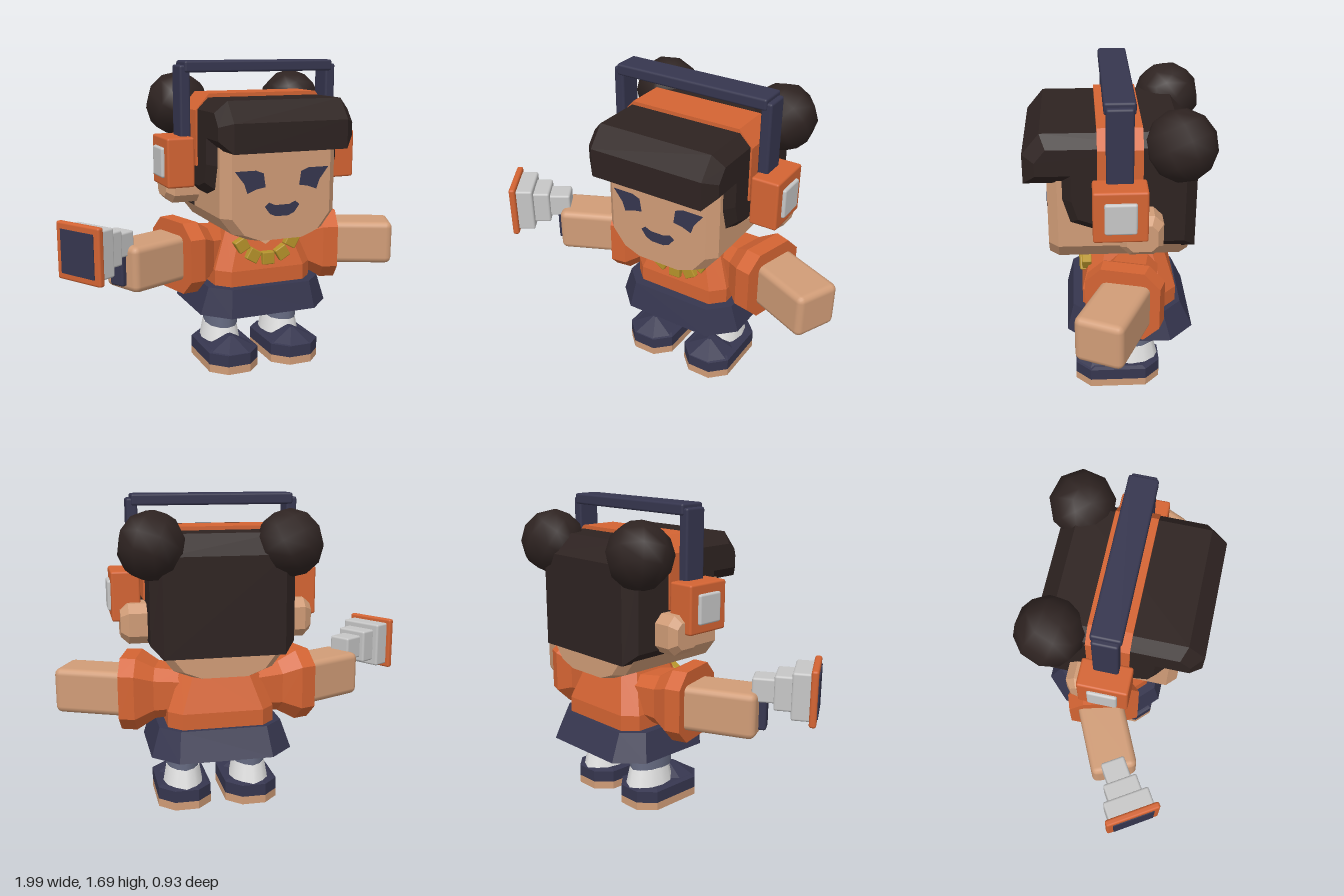
import * as THREE from 'three';
import { RoundedBoxGeometry } from 'three/addons/geometries/RoundedBoxGeometry.js';

const mat = (name, color, side = THREE.FrontSide) => {
  const m = new THREE.MeshStandardMaterial({ color, side });
  m.name = name;
  return m;
};

// Flat-shaded stack of chamfered rectangles: each ring is [y, halfWidth, zBack, zFront, chamfer]
function loft(rings) {
  const pts = rings.map(([y, w, z0, z1, c]) => [
    [w, y, z0 + c], [w, y, z1 - c], [w - c, y, z1], [c - w, y, z1],
    [-w, y, z1 - c], [-w, y, z0 + c], [c - w, y, z0], [w - c, y, z0]]);
  const pos = [];
  const tri = (...p) => p.forEach((q) => pos.push(...q));
  for (let i = 0; i < pts.length - 1; i++) {
    for (let j = 0; j < 8; j++) {
      const k = (j + 1) % 8;
      const a = pts[i][j], b = pts[i][k], c = pts[i + 1][k], d = pts[i + 1][j];
      tri(a, d, c);
      tri(a, c, b);
    }
  }
  const last = pts[pts.length - 1];
  for (let j = 1; j < 7; j++) {
    tri(pts[0][0], pts[0][j], pts[0][j + 1]);
    tri(last[0], last[j + 1], last[j]);
  }
  const g = new THREE.BufferGeometry();
  g.setAttribute('position', new THREE.Float32BufferAttribute(pos, 3));
  g.computeVertexNormals();
  return g;
}

const shape = (p) => new THREE.Shape(p.map(([x, y]) => new THREE.Vector2(x, y)));
const rbox = (x, y, z, r = 0.012) => new RoundedBoxGeometry(x, y, z, 2, r);

export function createModel() {
  const skin = mat('skin', 0xd09c77);
  const hair = mat('hair', 0x2e2321);
  const orange = mat('orange', 0xd46433);
  const navy = mat('navy', 0x36364f, THREE.DoubleSide);
  const grey = mat('grey', 0xc6c6c6);
  const white = mat('white', 0xe4e4e4);
  const stocking = mat('stocking', 0x6b7088);
  const gold = mat('gold', 0xb5922a);

  const root = new THREE.Group();
  root.name = 'figure';
  const body = new THREE.Group();
  body.name = 'body';
  body.position.x = 0.137;
  root.add(body);

  const add = (name, geo, material, x = 0, y = 0, z = 0, parent = body) => {
    const m = new THREE.Mesh(geo, material);
    m.name = name;
    m.position.set(x, y, z);
    parent.add(m);
    return m;
  };
  // Group whose local +x points sideways (s) and is turned forward by angle
  const limb = (name, s, x, y, z, angle) => {
    const g = new THREE.Group();
    g.name = name;
    g.position.set(s * x, y, z);
    g.rotation.y = s > 0 ? -angle : Math.PI + angle;
    body.add(g);
    return g;
  };

  // Head with tapered jaw
  add('head', loft([
    [0.775, 0.17, -0.36, 0.355, 0.05], [0.81, 0.26, -0.36, 0.355, 0.05],
    [0.9, 0.33, -0.36, 0.355, 0.05], [1.4, 0.33, -0.36, 0.355, 0.05]]), skin);

  // Hair: side profile across the head, with chamfered sides
  const profile = shape([
    [0.467, 1.25], [0.467, 1.4], [0.38, 1.505], [-0.29, 1.505], [-0.38, 1.4],
    [-0.38, 0.885], [-0.06, 0.885], [-0.06, 0.985], [0.13, 0.985],
    [0.255, 1.03], [0.295, 1.165], [0.295, 1.25]].reverse());
  const hairGeo = new THREE.ExtrudeGeometry(profile, {
    depth: 0.63, bevelEnabled: true, bevelThickness: 0.06, bevelSize: 0.06,
    bevelOffset: -0.06, bevelSegments: 1 });
  hairGeo.translate(0, 0, -0.315).rotateY(-Math.PI / 2);
  add('hair', hairGeo, hair);

  // Mouth
  add('mouth', new THREE.ShapeGeometry(shape([
    [-0.1, 0.955], [-0.085, 0.935], [-0.07, 0.915], [-0.035, 0.9], [0.035, 0.9],
    [0.07, 0.915], [0.1, 0.955], [0.075, 0.975], [0.04, 0.96], [-0.04, 0.96],
    [-0.075, 0.975]])), navy, 0, 0, 0.359);

  for (const s of [1, -1]) {
    // Winged eye
    add('eye', new THREE.ShapeGeometry(shape([
      [0.267, 1.147], [0.15, 1.147], [0.107, 1.13], [0.096, 1.058], [0.145, 1.05],
      [0.198, 1.03], [0.215, 1.08]].map(([x, y]) => [s * x, y]))), navy, 0, 0, 0.359);

    // Hair bun
    const bun = add('hairBun', new THREE.SphereGeometry(0.177, 9, 6), hair, s * 0.355, 1.448, -0.29);
    bun.rotation.set(0.4, 0, s * 0.4);

    // Ear
    const ear = add('ear', loft([
      [-0.1, 0.105, -0.105, 0.105, 0.045], [0.05, 0.105, -0.105, 0.105, 0.045],
      [0.09, 0.07, -0.075, 0.075, 0.03]]), skin, s * 0.42, 1.035, -0.1);
    ear.rotation.z = -s * Math.PI / 2;

    // Headphone cup, badge and post
    add('earCup', rbox(0.15, 0.262, 0.262), orange, s * 0.475, 1.172, 0.006);
    add('earCupBadge', rbox(0.04, 0.16, 0.155), grey, s * 0.547, 1.17, 0.006);
    add('headphonePost', rbox(0.058, 0.43, 0.13), navy, s * 0.426, 1.455, 0.005);

    // Flared sleeve
    const shoulder = limb('sleeveGroup', s, 0.49, 0.647, -0.005, 0.26);
    const sleeve = add('sleeve', loft([
      [-0.34, 0.12, -0.12, 0.12, 0.05], [-0.18, 0.14, -0.145, 0.145, 0.06],
      [-0.085, 0.195, -0.2, 0.195, 0.08], [0, 0.195, -0.19, 0.19, 0.08]]),
    orange, 0, 0, 0, shoulder);
    sleeve.rotation.z = -Math.PI / 2;

    // Arm, pointing slightly forward
    const arm = limb('armGroup', s, 0.815, 0.648, 0.13, 0.43);
    add('arm', rbox(0.46, 0.245, 0.25, 0.035), skin, -0.23, 0, 0, arm);

    // Leg: stocking, sock, shoe
    const x = s * 0.187;
    add('stocking', new THREE.CylinderGeometry(0.1, 0.09, 0.15, 12).scale(1, 1, 1.5), stocking, x, 0.285, -0.06);
    add('sock', new THREE.CylinderGeometry(0.092, 0.115, 0.13, 12).scale(1, 1, 1.35), white, x, 0.152, -0.07);
    const foot = [0.145, -0.225, 0.235, 0.08];
    add('sole', loft([[0, ...foot], [0.045, ...foot]]), skin, x);
    add('shoe', loft([[0.045, ...foot], [0.11, ...foot], [0.12, 0.125, -0.2, 0.2, 0.07]]), navy, x);
    add('shoeTongue', loft([
      [0.11, 0.135, -0.02, 0.232, 0.075], [0.18, 0.012, 0.075, 0.125, 0.005]]), navy, x);
  }

  // Orange strap over the hair
  const strap = shape([[-0.385, 1.15], [0.385, 1.15], [0.385, 1.44], [0.31, 1.525],
    [-0.31, 1.525], [-0.385, 1.44]]);
  add('headStrap', new THREE.ExtrudeGeometry(strap, { depth: 0.22, bevelEnabled: false }),
    orange, 0, 0, -0.11);
  add('headphoneBar', rbox(0.86, 0.06, 0.15), navy, 0, 1.662, 0.005);

  // Torso, neckline and skirt
  add('torso', loft([
    [0.47, 0.285, -0.305, 0.19, 0.07], [0.57, 0.285, -0.305, 0.19, 0.07],
    [0.79, 0.2, -0.235, 0.13, 0.06]]), orange);
  const neckline = add('neckline', new THREE.ShapeGeometry(shape([
    [0, 0], [0.135, 0.09], [-0.135, 0.09]])), skin, 0, 0.7, 0.16);
  neckline.rotation.x = -0.266;
  add('skirt', loft([
    [0.335, 0.378, -0.4, 0.275, 0.13], [0.485, 0.33, -0.33, 0.24, 0.1]]), navy);

  // Bead necklace
  for (let i = -2; i <= 2; i++) {
    const a = i * 0.53;
    const bead = add('necklaceBead', rbox(0.07, 0.07, 0.05, 0.006), gold,
      0.17 * Math.sin(a), 0.79 - 0.16 * Math.cos(a), 0.15 + 0.03 * Math.cos(a));
    bead.rotation.z = a;
  }

  // Hand-held device on the right hand: stepped horn with a framed front
  const horn = limb('handDevice', -1, 1.045, 0.782, 0.273, 0.557);
  add('hornFrame', rbox(0.036, 0.295, 0.295), orange, 0, 0, 0, horn);
  add('hornScreen', new THREE.BoxGeometry(0.008, 0.225, 0.225), navy, 0.019, 0, 0, horn);
  [[0.1, 0.25, -0.06], [0.1, 0.185, -0.15], [0.13, 0.13, -0.25]].forEach(([len, size, x]) =>
    add('hornStep', rbox(len, size, size), grey, x, 0, 0, horn));
  add('hornHandle', rbox(0.05, 0.17, 0.09), navy, -0.262, -0.14, -0.005, horn);

  return root;
}
